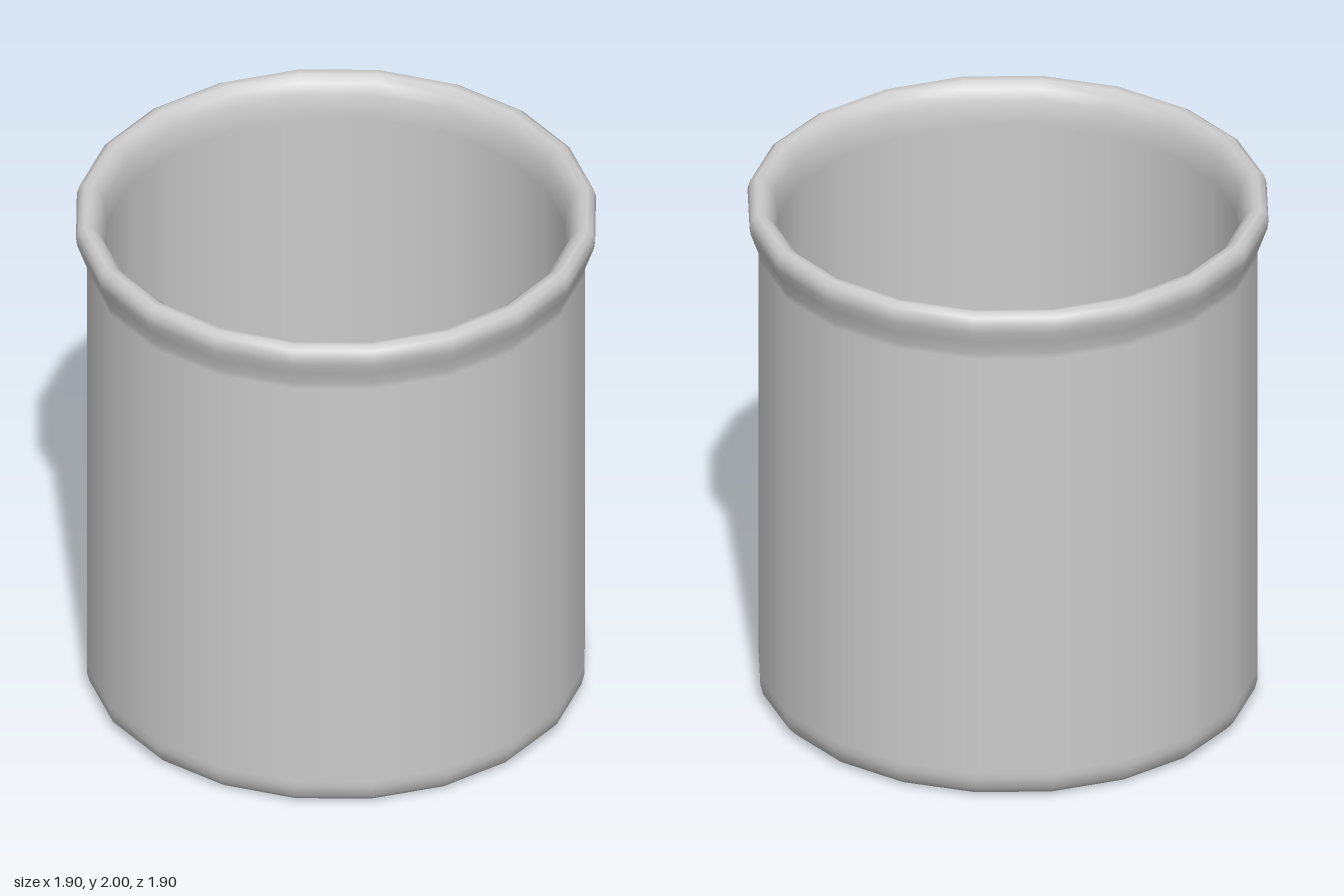
import * as THREE from 'three';

const SIDES = 20;

// Turns a profile of [radius, height] points into a smooth-shaded mesh.
function turned(name, profile, material) {
  const points = profile.map(([r, y]) => new THREE.Vector2(r, y));
  const mesh = new THREE.Mesh(new THREE.LatheGeometry(points, SIDES), material);
  mesh.name = name;
  return mesh;
}

export function createModel() {
  const group = new THREE.Group();
  group.name = 'jar';
  const material = new THREE.MeshStandardMaterial({ color: 0xcccccc });

  // Flat underside
  group.add(turned('underside', [[0, 0], [0.84, 0]], material));

  // Outer wall with a rounded foot, flared lip rolled over, and the inner wall
  group.add(turned('wallAndRim', [
    [0.84, 0], [0.875, 0.012], [0.9, 0.04], [0.91, 0.08], [0.91, 0.11],
    [0.91, 1.8], [0.91, 1.825], [0.93, 1.88], [0.946, 1.925], [0.95, 1.955],
    [0.942, 1.985], [0.92, 2], [0.895, 1.997], [0.868, 1.975],
    [0.85, 1.935], [0.84, 1.88], [0.84, 1.84], [0.84, 0.08],
  ], material));

  // Floor inside the jar
  group.add(turned('innerFloor', [[0.84, 0.08], [0, 0.08]], material));

  return group;
}
